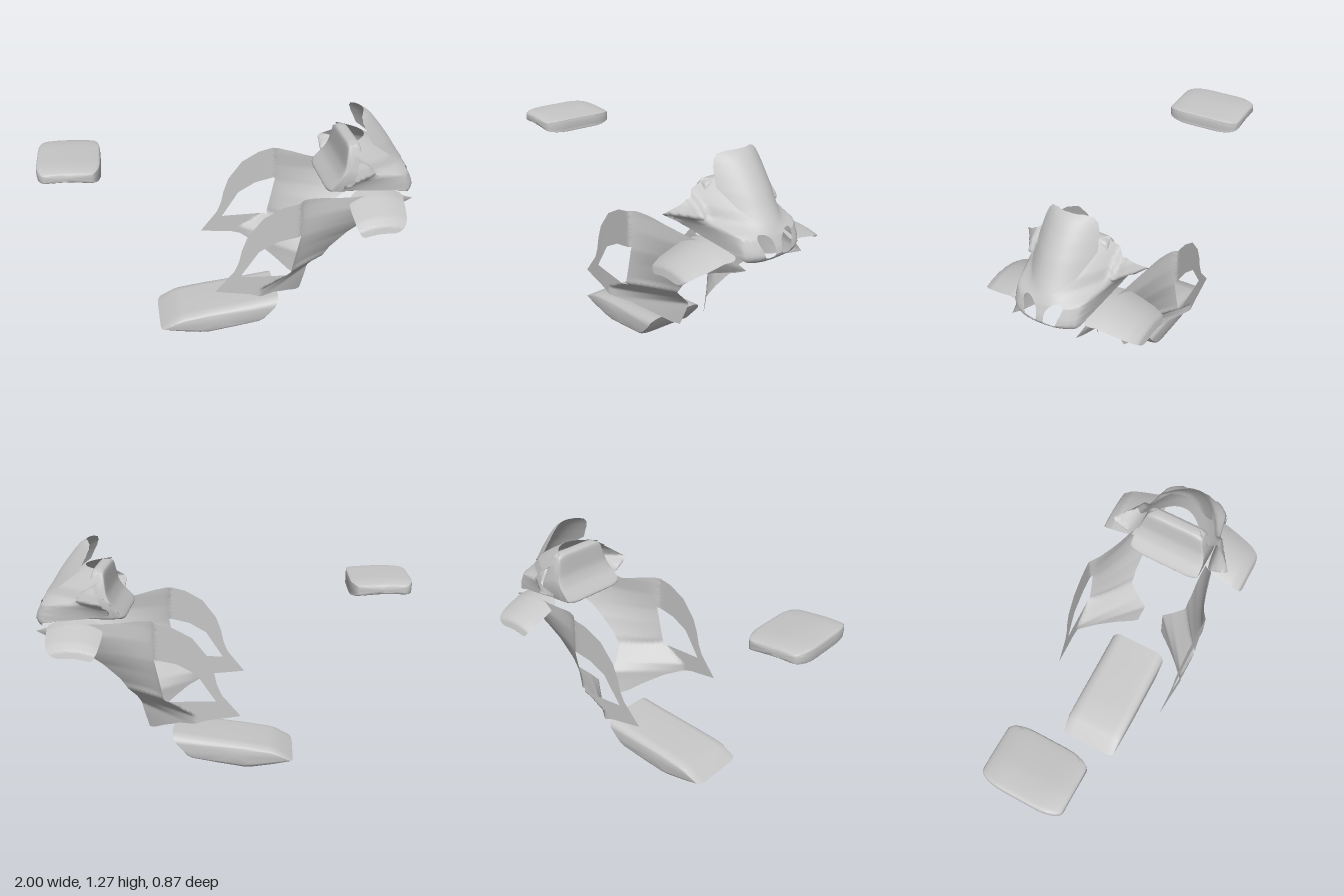
import * as THREE from 'three';
import { mergeVertices, toCreasedNormals } from 'three/addons/utils/BufferGeometryUtils.js';

const vec = (pts) => pts.map(([a, b]) => new THREE.Vector2(a, b));

// piecewise linear lookup through [input, output] stops
function ramp(v, stops) {
  if (v <= stops[0][0]) return stops[0][1];
  for (let i = 1; i < stops.length; i++) {
    const [a, p] = stops[i - 1], [b, q] = stops[i];
    if (v <= b) return p + (q - p) * (v - a) / (b - a);
  }
  return stops[stops.length - 1][1];
}

// rounded outline through a few points
function smoothLoop(pts, n, tension = 0.5) {
  const c = new THREE.CatmullRomCurve3(pts.map(([a, b]) => new THREE.Vector3(a, b, 0)), true, 'catmullrom', tension);
  return c.getPoints(n).slice(0, n).map((p) => [p.x, p.y]);
}

// thin panel: flat outline with holes, finely split, then bent by rule(u, v) -> [x, y, z]
function bentPanel(outline, holes, rule) {
  const shape = new THREE.Shape(vec(outline));
  holes.forEach((h) => shape.holes.push(new THREE.Path(vec(h))));
  const flat = new THREE.ShapeGeometry(shape).toNonIndexed().attributes.position;
  const out = [];
  // halve the longest edge until every edge is short
  const split = (a, b, c) => {
    const ab = a.distanceTo(b), bc = b.distanceTo(c), ca = c.distanceTo(a);
    const longest = Math.max(ab, bc, ca);
    if (longest < 0.02) {
      for (const p of [a, b, c]) out.push(...rule(p.x, p.y));
      return;
    }
    const [p, q, r] = longest === ab ? [a, b, c] : longest === bc ? [b, c, a] : [c, a, b];
    const mid = p.clone().add(q).multiplyScalar(0.5);
    split(p, mid, r);
    split(mid, q, r);
  };
  for (let i = 0; i < flat.count; i += 3) {
    split(...[0, 1, 2].map((k) => new THREE.Vector2(flat.getX(i + k), flat.getY(i + k))));
  }
  const geo = new THREE.BufferGeometry();
  geo.setAttribute('position', new THREE.Float32BufferAttribute(out, 3));
  const merged = mergeVertices(geo, 1e-5);
  merged.computeVertexNormals();
  return merged;
}

// solid: side profile (counter-clockwise) lofted across z, with softened sides
function softBlock(profile, half, round, shrinkX, shrinkY) {
  const n = profile.length, steps = 8, pos = [], idx = [];
  const cx = profile.reduce((s, p) => s + p[0], 0) / n;
  const cy = profile.reduce((s, p) => s + p[1], 0) / n;
  const rows = [];
  for (let i = 0; i <= steps; i++) {
    const a = (i / steps) * Math.PI / 2;
    rows.push([half - round + round * Math.sin(a), 1 - Math.cos(a)]);
  }
  const all = [...rows.map(([z, s]) => [-z, s]).reverse(), ...rows];
  for (const [z, s] of all) {
    for (const [x, y] of profile) pos.push(cx + (x - cx) * (1 - shrinkX * s), cy + (y - cy) * (1 - shrinkY * s), z);
  }
  for (let r = 0; r < all.length - 1; r++) {
    for (let j = 0; j < n; j++) {
      const a = r * n + j, b = r * n + (j + 1) % n;
      idx.push(a, b, b + n, a, b + n, a + n);
    }
  }
  const last = (all.length - 1) * n, c0 = pos.length / 3;
  pos.push(cx, cy, -half, cx, cy, half);
  for (let j = 0; j < n; j++) {
    const k = (j + 1) % n;
    idx.push(c0, k, j, c0 + 1, last + j, last + k);
  }
  const geo = new THREE.BufferGeometry();
  geo.setAttribute('position', new THREE.Float32BufferAttribute(pos, 3));
  geo.setIndex(idx);
  return geo;
}

// mirror a half outline (listed bottom to top on +u) to a full loop
const mirrorLoop = (half) => [...half, ...half.filter((p) => p[0] > 0).reverse().map(([u, v]) => [-u, v])];

export function createModel() {
  const group = new THREE.Group();
  const grey = new THREE.MeshStandardMaterial({ color: 0xc6c6c6, side: THREE.DoubleSide });
  grey.name = 'panel grey';
  const add = (name, geo, flip = false) => {
    const mesh = new THREE.Mesh(geo, grey);
    mesh.name = name;
    if (flip) mesh.scale.z = -1;
    group.add(mesh);
  };

  // tail pad
  const tail = smoothLoop([[-1, 1.045], [-0.985, 1.032], [-0.85, 1.032], [-0.695, 1.015], [-0.682, 1.03],
    [-0.682, 1.08], [-0.7, 1.092], [-0.87, 1.105], [-0.985, 1.1], [-1, 1.085]], 48, 0.4);
  add('tailPad', toCreasedNormals(softBlock(tail, 0.215, 0.13, 0.3, 0.5), 0.7));

  // belly pan
  const belly = [[-0.42, 0.05], [-0.32, 0.025], [-0.2, 0.003], [-0.15, 0], [0, 0.025], [0.15, 0.055], [0.18, 0.075],
    [0.22, 0.13], [0.258, 0.2], [0.1, 0.178], [-0.15, 0.148], [-0.29, 0.125], [-0.33, 0.112]];
  add('bellyPan', toCreasedNormals(softBlock(belly, 0.175, 0.06, 0.08, 0.45), 0.6));

  // dash block behind the nose, narrower toward the top
  const dash = smoothLoop([[0.49, 0.885], [0.52, 0.87], [0.7, 0.872], [0.72, 0.93], [0.67, 1.1], [0.655, 1.128],
    [0.62, 1.13], [0.597, 1.115], [0.58, 1.01], [0.55, 0.95]], 60, 0.35);
  const dashGeo = softBlock(dash, 0.205, 0.08, 0.14, 0.14);
  const dp = dashGeo.attributes.position;
  for (let i = 0; i < dp.count; i++) dp.setZ(i, dp.getZ(i) * ramp(dp.getY(i), [[0.95, 1], [1.13, 0.76]]));
  add('dashBlock', toCreasedNormals(dashGeo, 0.7));

  // nose cowl with flared side flaps and two lamp openings, drawn in (z, y)
  const cowl = mirrorLoop([[0, 0.812], [0.06, 0.812], [0.12, 0.815], [0.155, 0.825], [0.175, 0.842], [0.2, 0.87],
    [0.23, 0.905], [0.285, 0.94], [0.345, 0.98], [0.25, 1.052], [0.16, 1.115], [0.15, 1.13], [0, 1.13]]);
  const lamp = smoothLoop([[0.022, 0.845], [0.05, 0.836], [0.075, 0.842], [0.09, 0.88], [0.104, 0.925],
    [0.09, 0.943], [0.055, 0.938], [0.028, 0.91], [0.02, 0.88]], 24);
  const lamps = [lamp, lamp.map(([z, y]) => [-z, y])];
  add('noseCowl', bentPanel(cowl, lamps, (z, y) => {
    const w = Math.abs(z);
    const centre = ramp(y, [[0.81, 0.965], [0.83, 0.99], [0.85, 1], [0.88, 0.992], [0.93, 0.97], [0.98, 0.937],
      [1.03, 0.895], [1.08, 0.815], [1.13, 0.72]]);
    const side = ramp(w, [[0, 0], [0.06, 0.003], [0.1, 0.012], [0.14, 0.03], [0.17, 0.055], [0.2, 0.1], [0.215, 0.15],
      [0.25, 0.23], [0.345, 0.365]]);
    const high = 5 * w * w * THREE.MathUtils.clamp((y - 0.92) / 0.06, 0, 1);
    const under = 58 * Math.max(0, w - 0.18) * Math.max(0, 0.98 - y);
    return [Math.max(centre - Math.max(side, Math.min(high, 0.2)) - under, 0.56), y, z];
  }));

  // windscreen, drawn in (z, y)
  const screen = mirrorLoop([[0, 0.97], [0.04, 0.978], [0.08, 1.0], [0.115, 1.035], [0.14, 1.085], [0.157, 1.12],
    [0.152, 1.15], [0.143, 1.2], [0.13, 1.235], [0.11, 1.256], [0.07, 1.267], [0, 1.27]]);
  add('windscreen', bentPanel(screen, [], (z, y) => [
    ramp(y, [[0.97, 0.948], [1.03, 0.905], [1.1, 0.86], [1.17, 0.808], [1.22, 0.767], [1.25, 0.738], [1.27, 0.705]])
      - 4.8 * z * z, y, z]));

  // side fairing, drawn in (x, y) with a triangular opening
  const fairing = [[-0.13, 0.4], [-0.05, 0.388], [0.05, 0.375], [0.2, 0.325], [0.3, 0.265], [0.36, 0.222], [0.39, 0.212],
    [0.42, 0.3], [0.45, 0.41], [0.48, 0.47], [0.53, 0.54], [0.62, 0.62], [0.7, 0.675], [0.8, 0.72], [0.9, 0.762],
    [0.97, 0.8], [0.85, 0.848], [0.62, 0.862], [0.5, 0.88], [0.4, 0.903], [0.33, 0.912], [0.22, 0.887], [0.12, 0.832],
    [0.04, 0.73], [0.01, 0.65], [-0.005, 0.58], [-0.03, 0.52], [-0.08, 0.46]];
  const opening = [[0, 0.485], [0.27, 0.48], [0.32, 0.715], [0.2, 0.69], [0.1, 0.635], [0.05, 0.56]];
  const fairingGeo = bentPanel(fairing, [opening], (x, y) => {
    const front = ramp(y, [[0.21, 0.39], [0.3, 0.42], [0.41, 0.45], [0.52, 0.52], [0.62, 0.63], [0.72, 0.8], [0.8, 0.97]]);
    const start = ramp(y, [[0.4, 0.11], [0.49, 0.27], [0.7, 0.31]]);
    const inner = ramp(y, [[0.21, 0.08], [0.35, 0.06], [0.48, 0.175]]);
    const power = ramp(y, [[0.42, 1], [0.52, 0.75], [0.7, 0.75], [0.88, 0.6]]);
    const t = THREE.MathUtils.clamp((x - start) / (front - start), 0, 1) ** power;
    const outer = ramp(x, [[-0.13, 0.33], [0.05, 0.342], [0.28, 0.352]]);
    return [x, y, outer + (inner - outer) * t];
  });

  // winglet: drawn in (x, distance outward), arched and drooping toward its outer edge
  const wing = smoothLoop([[0.66, 0.17], [0.6, 0.24], [0.595, 0.36], [0.605, 0.43], [0.64, 0.475], [0.78, 0.475],
    [0.83, 0.45], [0.87, 0.38], [0.895, 0.25], [0.89, 0.17]], 50, 0.4);
  const droopZ = [[0.17, 0.17], [0.3, 0.3], [0.38, 0.38], [0.43, 0.425], [0.475, 0.436]];
  const droopY = [[0.17, 0.872], [0.24, 0.86], [0.3, 0.84], [0.38, 0.812], [0.43, 0.782], [0.475, 0.742]];
  const wingGeo = bentPanel(wing, [], (x, s) => [x, ramp(s, droopY) - 1.5 * (x - 0.74) ** 2, ramp(s, droopZ)]);

  for (const [side, flip] of [['front', false], ['back', true]]) {
    add(`${side}SideFairing`, fairingGeo, flip);
    add(`${side}SideWinglet`, wingGeo, flip);
  }
  return group;
}
